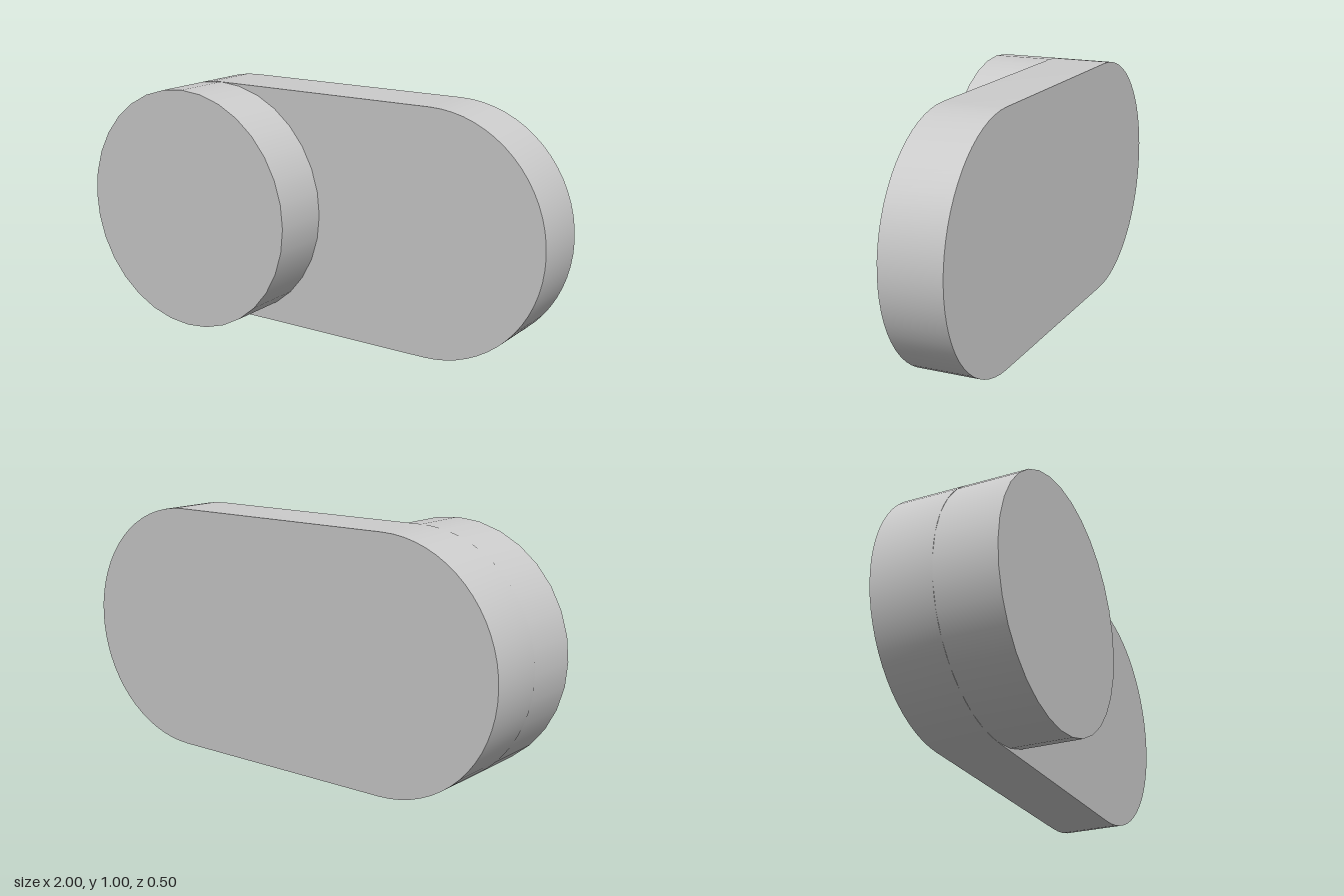
import * as THREE from 'three';
import { toCreasedNormals } from 'three/addons/utils/BufferGeometryUtils.js';

const RADIUS = 0.5;
const THICKNESS = 0.25;
const HALF_SPAN = 0.5; // centre of each rounded end

export function createModel() {
  const group = new THREE.Group();
  const material = new THREE.MeshStandardMaterial({ color: 0xcccccc });

  // Rear plate: rounded-end slot outline, smooth around the rim with sharp edges
  const outline = new THREE.Shape();
  outline.absarc(HALF_SPAN, RADIUS, RADIUS, -Math.PI / 2, Math.PI / 2, false);
  outline.absarc(-HALF_SPAN, RADIUS, RADIUS, Math.PI / 2, Math.PI * 1.5, false);
  const plateGeometry = new THREE.ExtrudeGeometry(outline, {
    depth: THICKNESS,
    bevelEnabled: false,
    curveSegments: 16,
  });
  const plate = new THREE.Mesh(toCreasedNormals(plateGeometry, Math.PI / 6), material);
  plate.name = 'roundedPlate';
  plate.position.z = -THICKNESS;
  group.add(plate);

  // Front disc: flush with the plate's right-hand rounded end
  const discGeometry = new THREE.CylinderGeometry(RADIUS, RADIUS, THICKNESS, 32);
  discGeometry.rotateX(Math.PI / 2);
  const disc = new THREE.Mesh(discGeometry, material);
  disc.name = 'frontDisc';
  disc.position.set(-HALF_SPAN, RADIUS, THICKNESS / 2);
  group.add(disc);

  return group;
}
